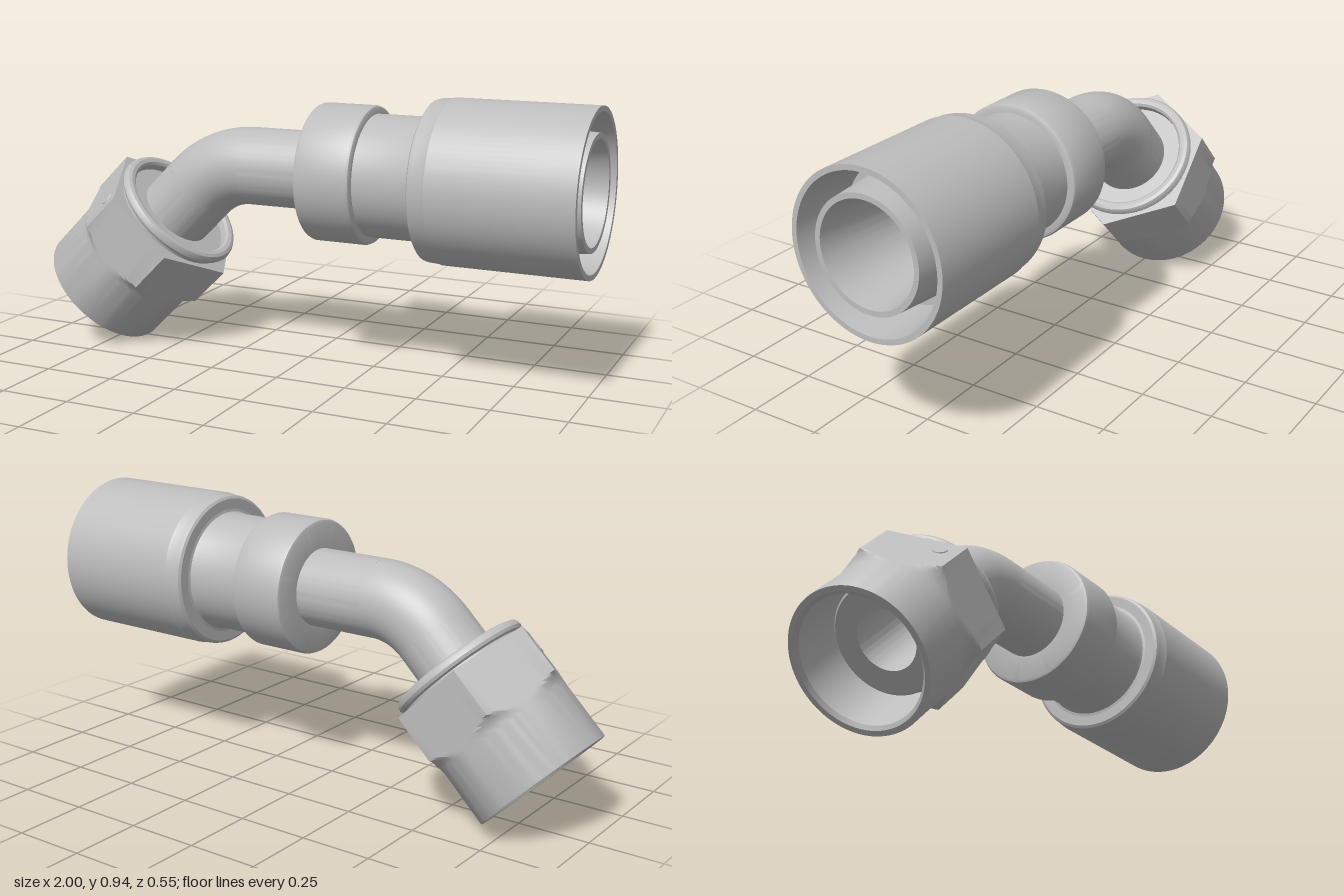
import * as THREE from 'three';
import { toCreasedNormals } from 'three/addons/utils/BufferGeometryUtils.js';

const AXIS_Y = 0.672;   // height of the straight hose axis
const TUBE = 0.135;     // outer tube radius
const BORE = 0.102;     // inner tube radius
const BEND = 0.3;       // centreline radius of the 45 degree elbow
const FLAT = 0.242;     // hex nut, centre to flat

// Lathe from [radius, distance along axis] pairs
const turned = (profile, segments = 96) =>
  new THREE.LatheGeometry(profile.map(([r, s]) => new THREE.Vector2(r, s)), segments);

export function createModel() {
  const model = new THREE.Group();
  model.name = 'elbowHoseFitting';
  const steel = new THREE.MeshStandardMaterial({ color: 0xbdbdbd, side: THREE.DoubleSide });
  steel.name = 'steel grey';

  const add = (parent, name, geometry, crease = 0.5) => {
    const mesh = new THREE.Mesh(crease ? toCreasedNormals(geometry, crease) : geometry, steel);
    mesh.name = name;
    parent.add(mesh);
    return mesh;
  };

  // Straight side: local +y runs along world +x
  const hoseEnd = new THREE.Group();
  hoseEnd.name = 'hoseEnd';
  hoseEnd.position.y = AXIS_Y;
  hoseEnd.rotation.z = -Math.PI / 2;
  model.add(hoseEnd);

  add(hoseEnd, 'straightTube', turned([[TUBE, -0.206], [TUBE, 0.06]]));
  add(hoseEnd, 'collar', turned([
    [TUBE, 0.05], [0.222, 0.05], [0.231, 0.054], [0.235, 0.063],
    [0.235, 0.237], [0.231, 0.246], [0.222, 0.25], [0.2, 0.25],
  ]));
  add(hoseEnd, 'neck', turned([[0.207, 0.245], [0.207, 0.445], [0.212, 0.455], [0.222, 0.457]]));
  add(hoseEnd, 'crimpShell', turned([
    [0.2, 0.457], [0.258, 0.457], [0.267, 0.463], [0.27, 0.475], [0.272, 0.515], [0.275, 0.52],
    [0.275, 1], [0.257, 1], [0.233, 0.8], [0.205, 0.8],
  ]));
  add(hoseEnd, 'hoseInsert', turned([
    [0.205, 0.8], [0.19, 0.995], [0.172, 0.995], [BORE, 0.45], [BORE, -0.206],
  ]));

  // Elbow: outer wall and bore swept through 45 degrees
  for (const [name, radius] of [['elbow', TUBE], ['elbowBore', BORE]]) {
    const bend = add(model, name, new THREE.TorusGeometry(BEND, radius, 64, 32, Math.PI / 4), 0);
    bend.position.set(-0.206, AXIS_Y - BEND, 0);
    bend.rotation.z = Math.PI / 2;
  }

  // Nut side: local y = 0 is the open end, +y runs up towards the elbow
  const nutEnd = new THREE.Group();
  nutEnd.name = 'nutEnd';
  nutEnd.position.set(-0.83, 0.1725, 0);
  nutEnd.rotation.z = -Math.PI / 4;
  model.add(nutEnd);

  // Swivel nut: a turned profile clamped to a hexagon with corners on local x
  const nut = turned([
    [0.21, 0.25], [0.21, 0.012], [0.222, 0], [0.24, 0], [0.2415, 0.004],
    [0.2415, 0.2], [0.244, 0.21], [0.249, 0.222], [0.256, 0.233], [0.266, 0.243], [0.282, 0.251],
    [0.282, 0.42], [0.226, 0.42], [0.226, 0.43], [0.236, 0.435], [0.241, 0.445],
    [0.239, 0.457], [0.233, 0.466], [0.222, 0.47], [0.208, 0.468], [0.2, 0.46], [0.2, 0.435], [TUBE, 0.435],
  ]);
  const pos = nut.attributes.position;
  for (let i = 0; i < pos.count; i++) {
    const x = pos.getX(i), z = pos.getZ(i), r = Math.hypot(x, z);
    const turn = (Math.atan2(z, x) + 2 * Math.PI + 1e-6) % (Math.PI / 3);
    const k = Math.min(1, FLAT / Math.cos(turn - Math.PI / 6) / r);
    pos.setX(i, x * k);
    pos.setZ(i, z * k);
  }
  add(nutEnd, 'swivelNut', nut, 0.45);

  // Tube inside the nut with its sealing nose
  add(nutEnd, 'noseTube', turned([
    [BORE, 0.582], [BORE, 0.17], [0.18, 0.17], [0.187, 0.177], [0.187, 0.25], [0.212, 0.25],
  ]));
  add(nutEnd, 'nutTube', turned([[TUBE, 0.25], [TUBE, 0.582]]));

  // Small retaining-wire dot on one hex flat
  const dot = add(nutEnd, 'wireHole', new THREE.CylinderGeometry(0.022, 0.026, 0.006, 32));
  const normal = new THREE.Vector3(-Math.cos(Math.PI / 6), 0, 0.5);
  dot.position.set(-0.171, 0.359, 0.188);
  dot.quaternion.setFromUnitVectors(new THREE.Vector3(0, 1, 0), normal);

  return model;
}
